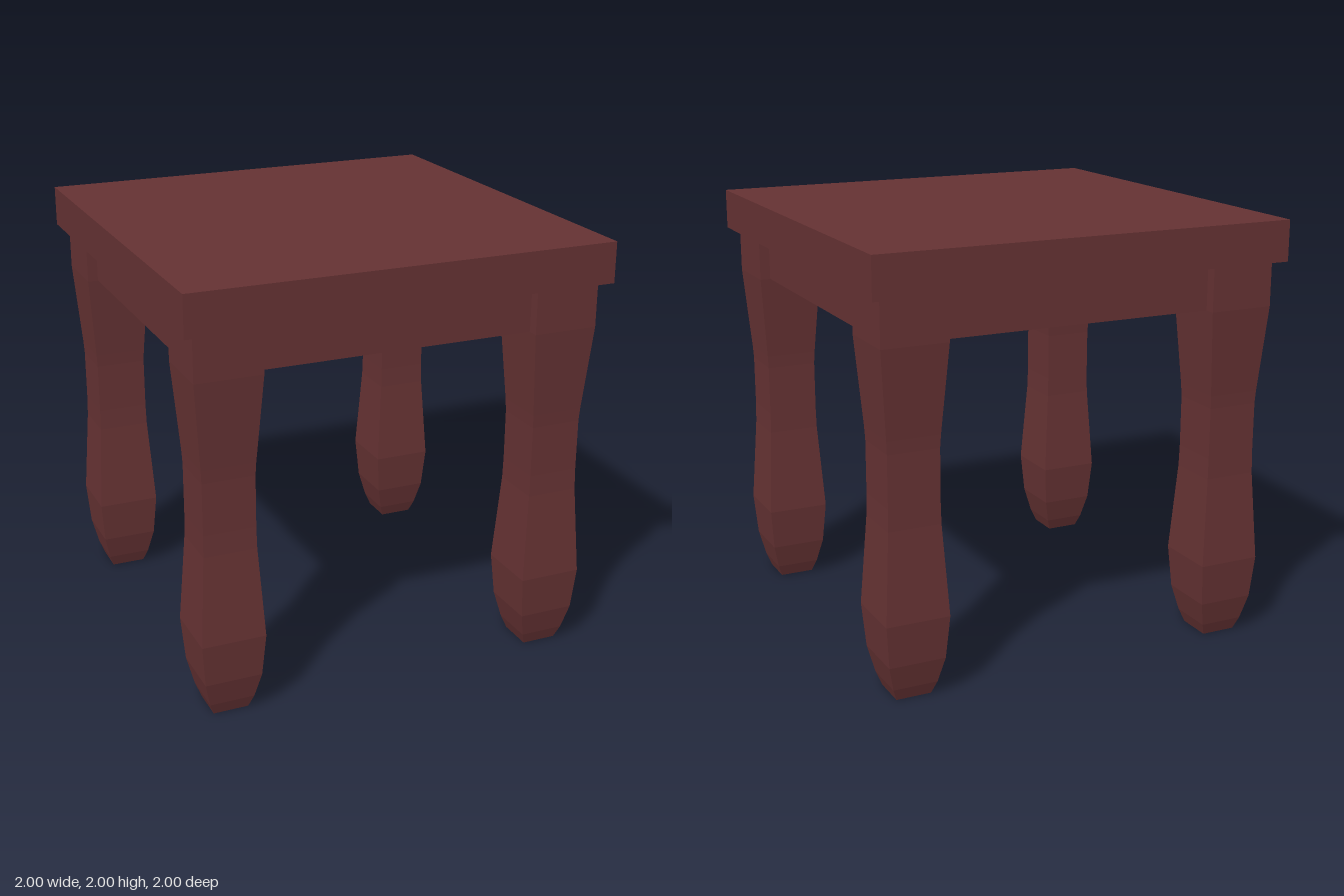
import * as THREE from 'three';

export function createModel() {
  const model = new THREE.Group();
  model.name = 'squareStool';
  // Double sided because the legs and aprons are hollow and open below
  const wood = new THREE.MeshStandardMaterial({ color: 0x653233, side: THREE.DoubleSide });
  wood.name = 'darkRedWood';

  const add = (parent, geometry, name, x, y, z) => {
    const mesh = new THREE.Mesh(geometry, wood);
    mesh.name = name;
    mesh.position.set(x, y, z);
    parent.add(mesh);
    return mesh;
  };

  // Seat slab
  add(model, new THREE.BoxGeometry(2, 0.19, 2), 'seat', 0, 1.905, 0);

  // Square-section leg, open at the foot: [half width, height]
  const profile = [
    [0.082, 0], [0.104, 0.06], [0.132, 0.18], [0.148, 0.38], [0.122, 0.8],
    [0.12, 0.9], [0.12, 1.14], [0.123, 1.2], [0.153, 1.6], [0.153, 1.81],
  ].map(([r, y]) => new THREE.Vector2(r * Math.SQRT2, y));
  const legGeometry = new THREE.LatheGeometry(profile, 4, Math.PI / 4).toNonIndexed();
  legGeometry.scale(1.005, 1, 1.025); // slightly deeper than wide
  legGeometry.computeVertexNormals(); // faceted sides

  for (const [sx, side] of [[1, 'Left'], [-1, 'Right']]) {
    for (const [sz, end] of [[1, 'front'], [-1, 'back']]) {
      add(model, legGeometry, `${end}${side}Leg`, sx * 0.796, 0, sz * 0.793);
    }
  }

  // Hollow aprons set back between the legs: an outer and an inner board each
  const boardGeometry = new THREE.PlaneGeometry(1.3, 0.21);
  ['frontApron', 'leftApron', 'backApron', 'rightApron'].forEach((name, i) => {
    const apron = new THREE.Group();
    apron.name = name;
    apron.rotation.y = i * Math.PI / 2;
    add(apron, boardGeometry, 'outerBoard', 0, 1.706, 0.9);
    add(apron, boardGeometry, 'innerBoard', 0, 1.706, 0.75).rotation.y = Math.PI;
    model.add(apron);
  });

  return model;
}
